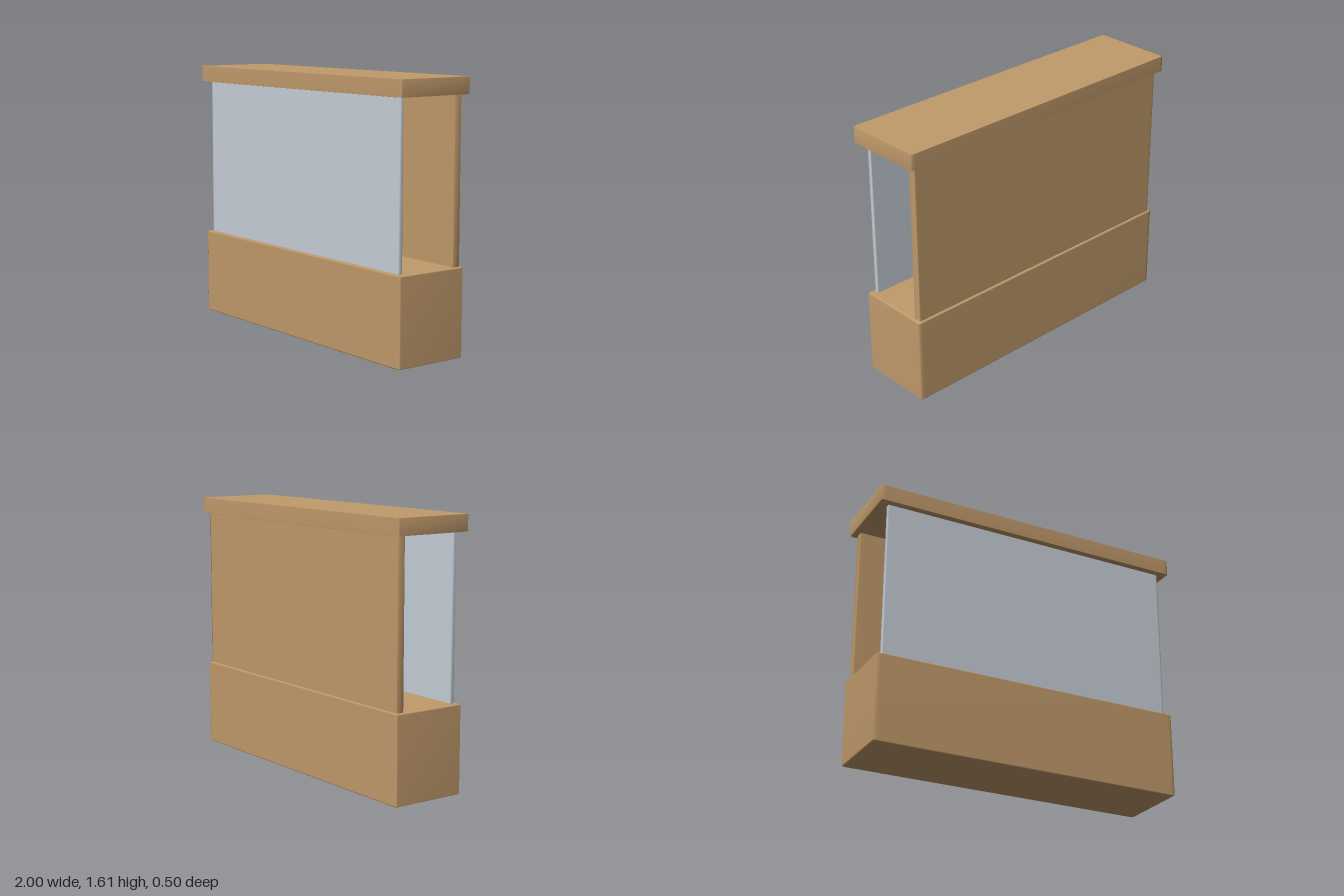
import * as THREE from 'three';
import { mergeVertices } from 'three/addons/utils/BufferGeometryUtils.js';
import { RoundedBoxGeometry } from 'three/addons/geometries/RoundedBoxGeometry.js';

const material = (name, color) => {
  const m = new THREE.MeshStandardMaterial({ color });
  m.name = name;
  return m;
};

// Weld the corners and share normals, for soft shading across edges
function soften(geometry) {
  geometry.deleteAttribute('uv');
  geometry.deleteAttribute('normal');
  const welded = mergeVertices(geometry, 1e-4);
  welded.computeVertexNormals();
  return welded;
}

export function createModel() {
  const group = new THREE.Group();
  group.name = 'displayCase';
  const wood = material('wood', 0xc19a6b);
  const glass = material('glass', 0xc6cfd8);
  const orange = material('orange', 0xe69040);

  // Bevelled unit block stretched to its size, standing on y0
  function block(name, mat, halfX, y0, y1, z0, z1) {
    const g = new RoundedBoxGeometry(1, 1, 1, 1, 0.015);
    g.scale(halfX * 2, y1 - y0, z1 - z0);
    const mesh = new THREE.Mesh(soften(g), mat);
    mesh.name = name;
    mesh.position.set(0, (y0 + y1) / 2, (z0 + z1) / 2);
    group.add(mesh);
  }

  block('base', wood, 0.98, 0, 0.53, -0.233, 0.233);
  block('backPanel', wood, 0.96, 0.52, 1.515, -0.218, -0.175);
  block('frontPane', glass, 0.94, 0.52, 1.515, 0.187, 0.208);
  block('topSlab', wood, 1, 1.505, 1.605, -0.25, 0.25);

  // Tapered pot inside the case
  const pot = new THREE.Mesh(soften(new THREE.CylinderGeometry(0.12, 0.077, 0.35, 32)), orange);
  pot.name = 'pot';
  pot.position.y = 0.725;
  group.add(pot);

  return group;
}
